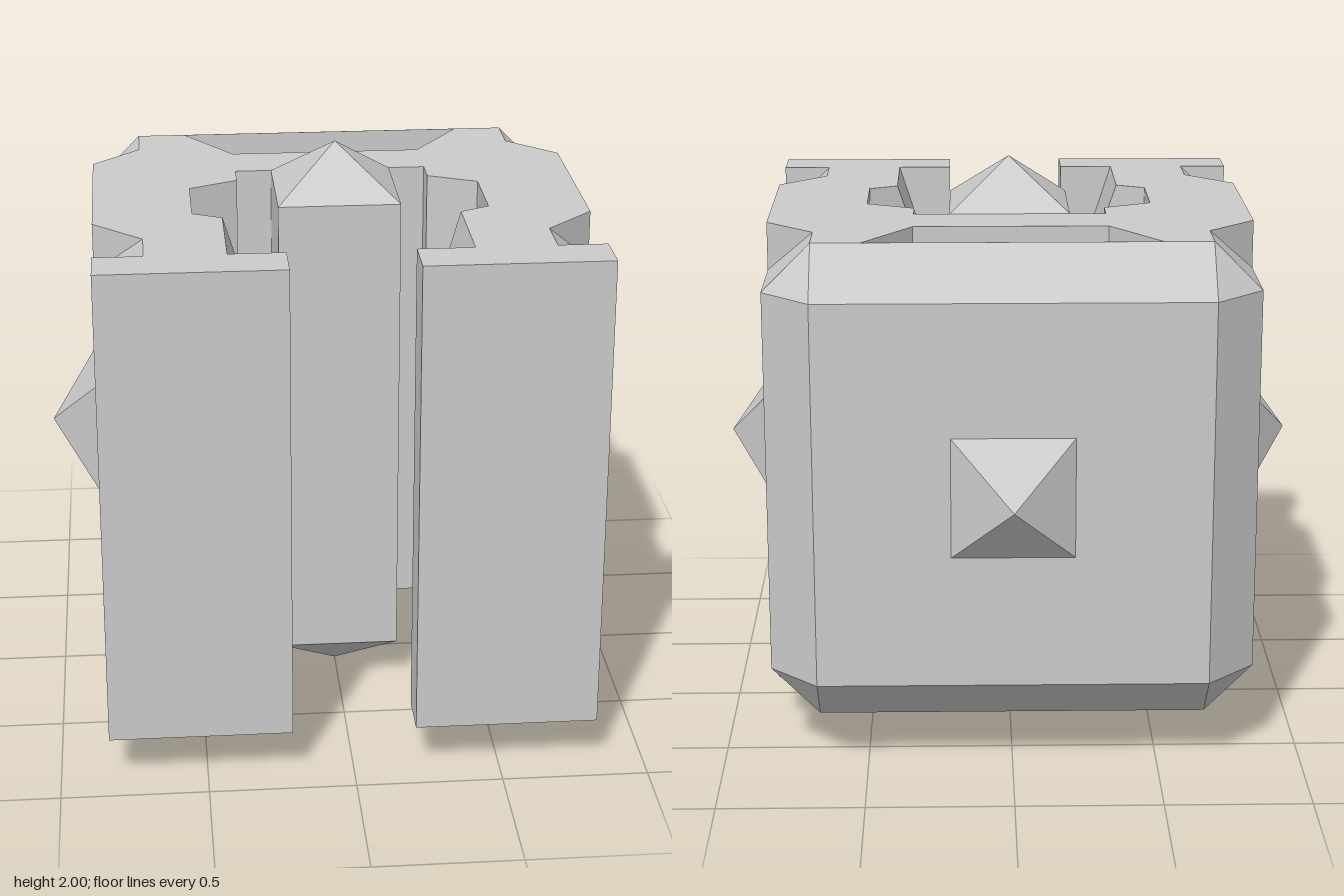
import * as THREE from 'three';

const U = 1 / 6;               // module grid unit
const LOW = U, HIGH = 2 - U;   // bottom and top of the block
const CZ = 0.083;              // depth of the pillar and side studs
const TOOTH = (HIGH - LOW) / 8;

const material = new THREE.MeshStandardMaterial({ color: 0xcccccc, flatShading: true });

// Plan outline [x, z] at height y, counter-clockwise from above.
function outline(y) {
  // chamfer inset grows over the last grid unit at top and bottom
  const c = Math.min(0.1655, Math.max(0, Math.abs(y - 1) - 4 * U));
  // zigzag teeth on the inner rails
  const s = (y - LOW) / TOOTH;
  const wave = 1 - Math.abs((s % 2) - 1);
  const rail = 0.4 - 0.067 * wave;
  const half = [
    [0.333, -0.125], [0.333, -0.02], [0.5, 0.06], [0.5, 0.333],
    [rail, 0.333 + (0.5 - rail) / 2], [rail, 0.75],
    [0.21, 0.75], [0.21, 0.917], [0.833, 0.917], [0.833, 0.75],
    [0.833 - c, 0.75], [0.833 - c, 0.417 + c], [0.833, 0.417],
    [0.833, -0.25], [0.833 - c, -0.25 - c], [0.833 - c, -0.583],
    [0.667, -0.75 + c],
  ];
  return [...half, ...half.map(([x, z]) => [-x, z]).reverse()];
}

// Slot behind the cross wall, clockwise from above.
const slot = () => [[-0.5, -0.583], [0.5, -0.583], [0.333, -0.333], [-0.333, -0.333]];

function blockGeometry() {
  const pos = [];
  const tri = (...pts) => pts.forEach((p) => pos.push(...p));
  const at = ([x, z], y) => [x, y, z];

  const levels = [2 * U, 2 - 2 * U];
  for (let i = 0; i <= 8; i++) levels.push(LOW + i * TOOTH);
  levels.sort((a, b) => a - b);

  // walls between successive sections
  const wall = (section, y0, y1) => {
    const a = section(y0), b = section(y1);
    a.forEach((p, i) => {
      const j = (i + 1) % a.length;
      const p0 = at(p, y0), p1 = at(a[j], y0), q0 = at(b[i], y1), q1 = at(b[j], y1);
      tri(p0, p1, q1);
      tri(p0, q1, q0);
    });
  };
  for (let i = 0; i < levels.length - 1; i++) wall(outline, levels[i], levels[i + 1]);
  wall(slot, LOW, HIGH);

  // top and bottom faces
  for (const [y, up] of [[LOW, false], [HIGH, true]]) {
    const toV2 = ([x, z]) => new THREE.Vector2(x, -z);
    const contour = outline(y).map(toV2);
    const hole = slot().map(toV2);
    const pts = [...contour, ...hole];
    for (const [i, j, k] of THREE.ShapeUtils.triangulateShape(contour, [hole])) {
      const a = pts[i], b = pts[j], c = pts[k];
      const ccw = (b.x - a.x) * (c.y - a.y) - (b.y - a.y) * (c.x - a.x) > 0;
      const order = ccw === up ? [a, b, c] : [a, c, b];
      tri(...order.map((v) => [v.x, y, -v.y]));
    }
  }

  const geo = new THREE.BufferGeometry();
  geo.setAttribute('position', new THREE.Float32BufferAttribute(pos, 3));
  geo.computeVertexNormals();
  return geo;
}

export function createModel() {
  const model = new THREE.Group();
  model.name = 'notchedBlock';
  const add = (name, geometry) => {
    const mesh = new THREE.Mesh(geometry, material);
    mesh.name = name;
    model.add(mesh);
    return mesh;
  };

  add('block', blockGeometry());

  // central pillar standing against the cross wall
  add('pillar', new THREE.BoxGeometry(0.417, HIGH - LOW, 0.417)).position.set(0, 1, CZ);

  // four-sided pointed studs
  const stud = new THREE.ConeGeometry(0.2083 * Math.SQRT2, U, 4, 1).rotateY(Math.PI / 4);
  const studs = [
    ['topPoint', [0, 2 - U / 2, CZ], [0, 0, 0]],
    ['bottomPoint', [0, U / 2, CZ], [Math.PI, 0, 0]],
    ['leftStud', [1 - U / 2, 1, CZ], [0, 0, -Math.PI / 2]],
    ['rightStud', [-1 + U / 2, 1, CZ], [0, 0, Math.PI / 2]],
    ['backStud', [0, 1, -0.75 - U / 2], [-Math.PI / 2, 0, 0]],
  ];
  for (const [name, p, r] of studs) {
    const mesh = add(name, stud);
    mesh.position.set(...p);
    mesh.rotation.set(...r);
  }
  return model;
}
